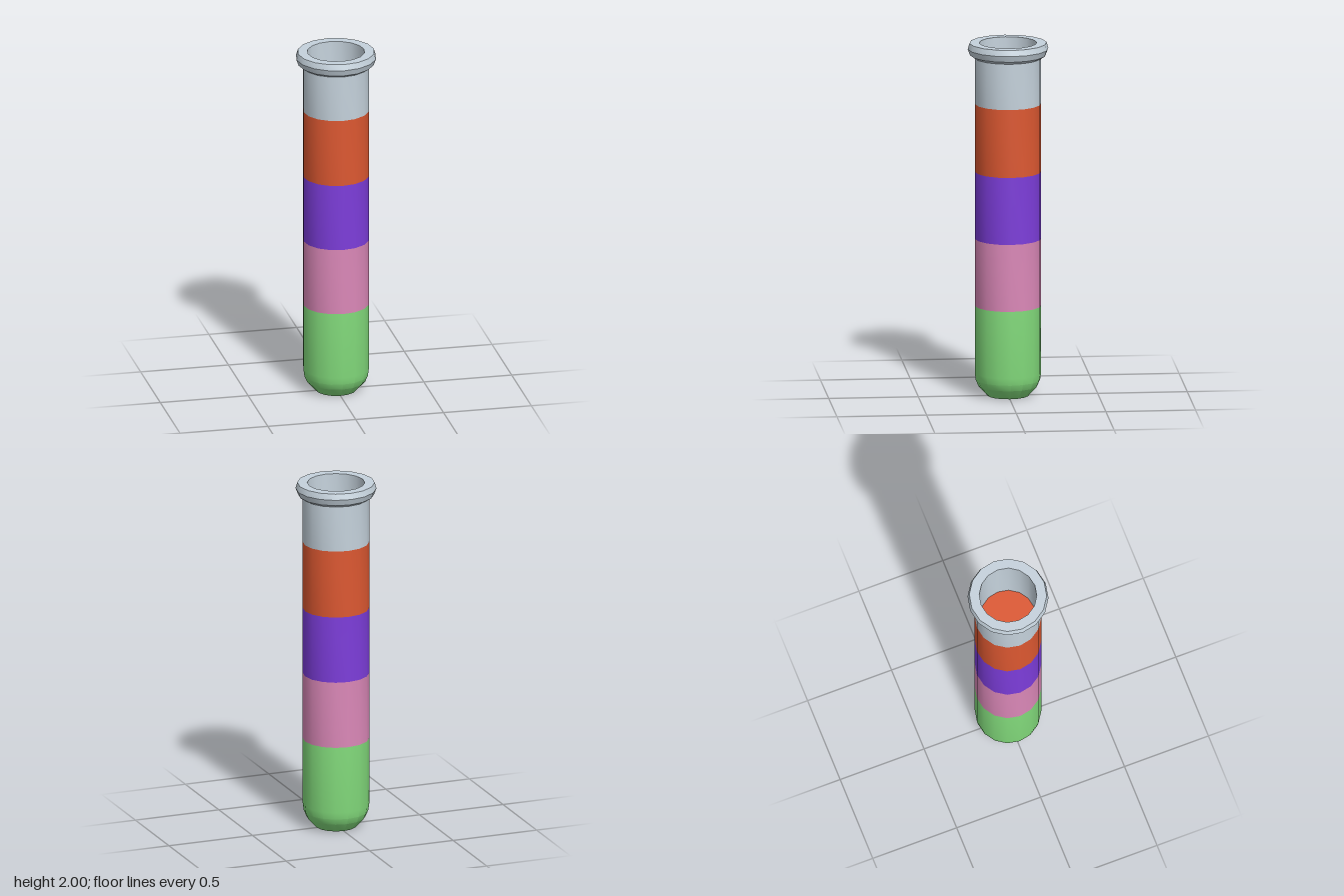
import * as THREE from 'three';
import { toCreasedNormals } from 'three/addons/utils/BufferGeometryUtils.js';

const SIDES = 16;
const CREASE = 0.45; // smooth around the tube, sharp along its profile
const RADIUS = 0.185;

// Turned part from [radius, height] pairs
function turned(name, profile, color) {
  const points = profile.map(([r, y]) => new THREE.Vector2(r, y));
  const geometry = toCreasedNormals(new THREE.LatheGeometry(points, SIDES), CREASE);
  const mesh = new THREE.Mesh(geometry, new THREE.MeshStandardMaterial({ color }));
  mesh.name = name;
  return mesh;
}

export function createModel() {
  const tube = new THREE.Group();
  tube.name = 'testTube';

  // Rounded bottom, filled with the first layer
  tube.add(turned('bottomLayer', [
    [0, 0], [0.115, 0], [0.165, 0.055], [0.18, 0.09], [RADIUS, 0.13], [RADIUS, 0.51],
  ], 0x83dc7c));

  // Stacked straight layers
  const layers = [
    ['lowerLayer', 0.51, 0.89, 0xdb88b8],
    ['middleLayer', 0.89, 1.27, 0x7d3ddb],
    ['upperLayer', 1.27, 1.655, 0xdd5831],
  ];
  for (const [name, y0, y1, color] of layers) {
    tube.add(turned(name, [[RADIUS, y0], [RADIUS, y1]], color));
  }

  // Surface of the top layer, seen through the mouth
  tube.add(turned('liquidSurface', [[0.155, 1.655], [0, 1.655]], 0xdd5831));

  // Empty neck with flared lip and inner wall
  tube.add(turned('neckAndLip', [
    [RADIUS, 1.655], [RADIUS, 1.915], [0.212, 1.932], [0.225, 1.967],
    [0.215, 2], [0.16, 2], [0.155, 1.655],
  ], 0xc5d2dc));

  return tube;
}
